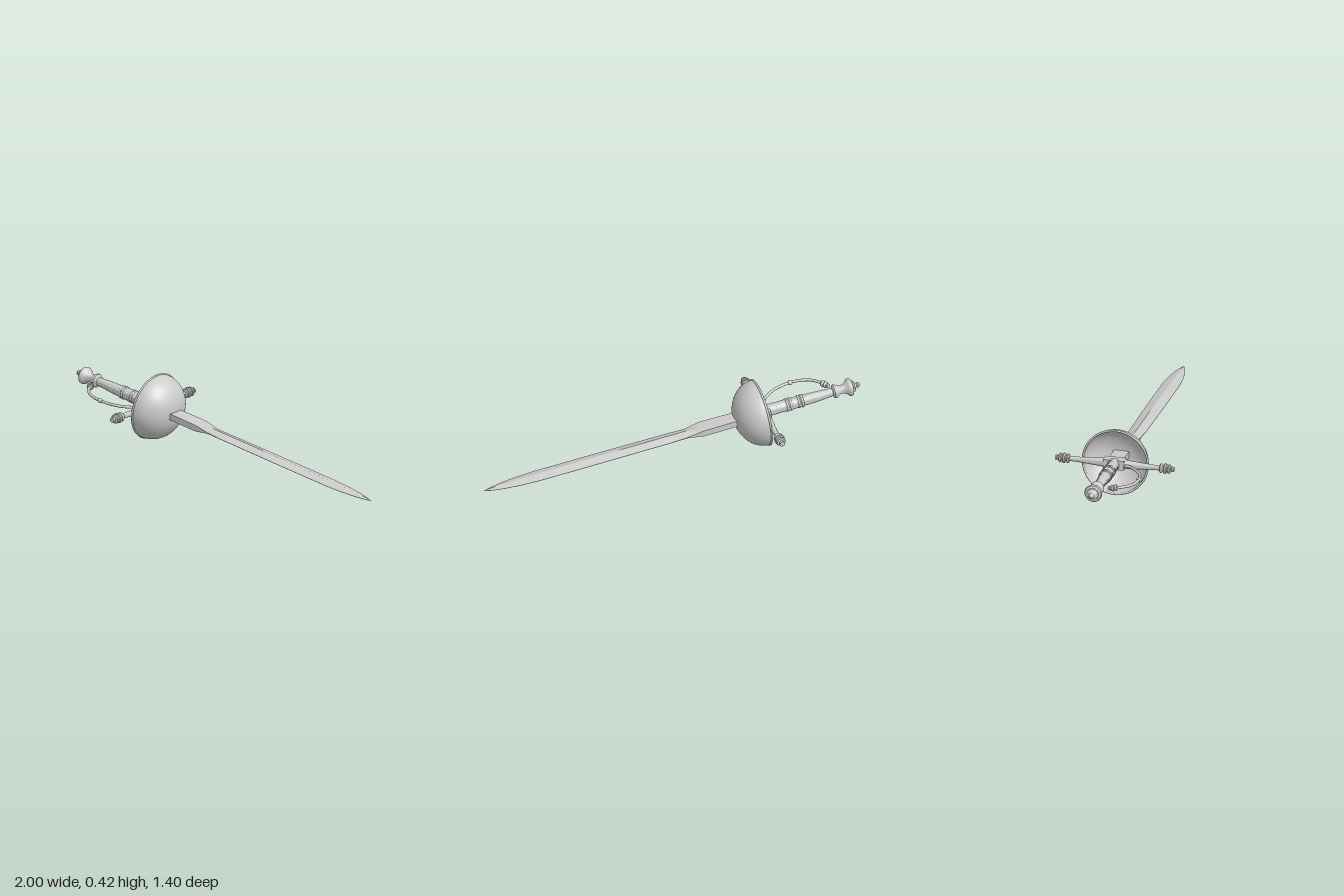
import * as THREE from 'three';
import { toCreasedNormals } from 'three/addons/utils/BufferGeometryUtils.js';

const material = new THREE.MeshStandardMaterial({ color: 0xcccccc, side: THREE.DoubleSide });

function part(name, geometry, parent) {
  const mesh = new THREE.Mesh(geometry, material);
  mesh.name = name;
  parent.add(mesh);
  return mesh;
}

// Turned piece around y from [radius, height] pairs, listed upward
function turned(profile, sides = 32, crease = 0.7) {
  const points = profile.map(([r, y]) => new THREE.Vector2(r, y));
  return toCreasedNormals(new THREE.LatheGeometry(points, sides), crease);
}

// Loft of six-sided sections: [height, half width, half thickness, half edge thickness]
function bladeGeometry(stations) {
  const positions = [], index = [];
  for (const [y, w, t, e] of stations) {
    for (const [x, z] of [[w, e], [0, t], [-w, e], [-w, -e], [0, -t], [w, -e]]) positions.push(x, y, z);
  }
  for (let s = 0; s < stations.length - 1; s++) {
    for (let i = 0; i < 6; i++) {
      const a = s * 6 + i, b = s * 6 + (i + 1) % 6;
      index.push(a, a + 6, b, b, a + 6, b + 6);
    }
  }
  const geometry = new THREE.BufferGeometry();
  geometry.setAttribute('position', new THREE.Float32BufferAttribute(positions, 3));
  geometry.setIndex(index);
  return toCreasedNormals(geometry, 0.25);
}

export function createModel() {
  const model = new THREE.Group();

  // Sword frame: y along the blade, x along the crossguard, z across the flat
  const sword = new THREE.Group();
  sword.name = 'sword';
  const along = new THREE.Vector3(0.817, -0.108, 0.566).normalize();
  const across = new THREE.Vector3(-along.z, 0, along.x).normalize();
  const up = new THREE.Vector3().crossVectors(across, along);
  sword.quaternion.setFromRotationMatrix(new THREE.Matrix4().makeBasis(across, along, up));
  sword.position.set(-0.485, 0.207, -0.333);
  model.add(sword);

  // Blade with a squared ricasso and a diamond section beyond it
  part('blade', bladeGeometry([
    [0, 0.045, 0.02, 0.02], [0.3, 0.051, 0.02, 0.02], [0.4, 0.052, 0.023, 0.02],
    [0.5, 0.047, 0.019, 0.003], [0.62, 0.053, 0.019, 0.001], [1.1, 0.056, 0.018, 0.001],
    [1.48, 0.056, 0.016, 0.001], [1.6, 0.048, 0.014, 0.001], [1.7, 0.034, 0.011, 0.001],
    [1.77, 0.018, 0.007, 0.001], [1.817, 0.0005, 0.0005, 0.0005],
  ]), sword);

  // Hollow cup guard: inner wall down to the rim, outer wall back up
  const cup = [], steps = 16;
  for (let i = 0; i <= steps; i++) {
    const a = (1 - i / steps) * Math.PI / 2;
    cup.push([Math.max(0, 0.199 * Math.cos(a)), 0.015 + 0.166 * Math.sin(a)]);
  }
  for (let i = 0; i <= steps; i++) {
    const a = i / steps * Math.PI / 2;
    cup.push([Math.max(0, 0.207 * Math.cos(a)), 0.015 + 0.175 * Math.sin(a)]);
  }
  part('cupGuard', turned(cup, 64), sword);
  const rim = part('cupRim', new THREE.TorusGeometry(0.205, 0.007, 10, 64), sword);
  rim.rotation.x = Math.PI / 2;
  rim.position.y = 0.015;

  // Crossguard block and two mirrored arms with ringed ends
  part('guardBlock', new THREE.BoxGeometry(0.13, 0.07, 0.06), sword);
  const arm = turned([
    [0.032, 0.04], [0.024, 0.12], [0.017, 0.22], [0.015, 0.282], [0.026, 0.286], [0.03, 0.293],
    [0.026, 0.3], [0.019, 0.303], [0.019, 0.308], [0.03, 0.311], [0.033, 0.319], [0.03, 0.327],
    [0.019, 0.33], [0.019, 0.334], [0.027, 0.337], [0.03, 0.344], [0.026, 0.351],
    [0.013, 0.354], [0.013, 0.36], [0.017, 0.364], [0.016, 0.374], [0, 0.378],
  ], 24);
  for (const side of [1, -1]) {
    part(side > 0 ? 'quillonLeft' : 'quillonRight', arm, sword).rotation.z = -side * Math.PI / 2;
  }

  // Grip wrapped in fine ridges, swelling toward the guard
  const grip = [], ridges = 24;
  for (let i = 0; i <= ridges * 4; i++) {
    const f = i / (ridges * 4);
    const swell = 0.023 + 0.012 * Math.sin(Math.min(1, f * 1.6) * Math.PI / 2);
    grip.push([swell + 0.003 * Math.abs(Math.sin(f * ridges * Math.PI)), -0.46 + 0.46 * f]);
  }
  part('grip', turned(grip, 28, 1.2), sword);
  for (const y of [-0.25, -0.228, -0.175, -0.153]) {
    const ring = part('gripRing', new THREE.TorusGeometry(0.034, 0.008, 10, 28), sword);
    ring.rotation.x = Math.PI / 2;
    ring.position.y = y;
  }

  // Pommel: point, disc, waist and flared collar
  part('pommel', turned([
    [0, -0.632], [0.012, -0.624], [0.017, -0.614], [0.013, -0.606], [0.02, -0.598],
    [0.036, -0.588], [0.038, -0.58], [0.051, -0.575], [0.056, -0.563], [0.052, -0.55],
    [0.042, -0.543], [0.033, -0.53], [0.026, -0.512], [0.028, -0.495], [0.037, -0.48],
    [0.043, -0.472], [0.043, -0.46], [0.035, -0.453], [0.024, -0.448], [0, -0.446],
  ]), sword);

  // Knuckle bow curving from the guard toward the pommel
  const bow = new THREE.CatmullRomCurve3([
    [0.03, -0.005], [0.07, -0.022], [0.123, -0.053], [0.185, -0.133], [0.211, -0.246],
    [0.192, -0.345], [0.144, -0.403], [0.1, -0.43],
  ].map(([x, y]) => new THREE.Vector3(x, y, 0)));
  part('knuckleBow', new THREE.TubeGeometry(bow, 64, 0.009, 12), sword);
  const bead = part('bowBead', new THREE.SphereGeometry(0.016, 20, 14), sword);
  bead.position.set(0.211, -0.246, 0);

  // Ringed finial at the free end of the bow
  const finial = part('bowFinial', turned([
    [0.009, -0.012], [0.018, -0.008], [0.021, 0], [0.017, 0.008], [0.013, 0.011], [0.019, 0.015],
    [0.021, 0.022], [0.017, 0.029], [0.011, 0.032], [0.015, 0.037], [0.014, 0.045], [0, 0.053],
  ], 20), sword);
  finial.position.set(0.108, -0.425, 0);
  finial.rotation.z = Math.atan2(0.044, -0.027);

  return model;
}
